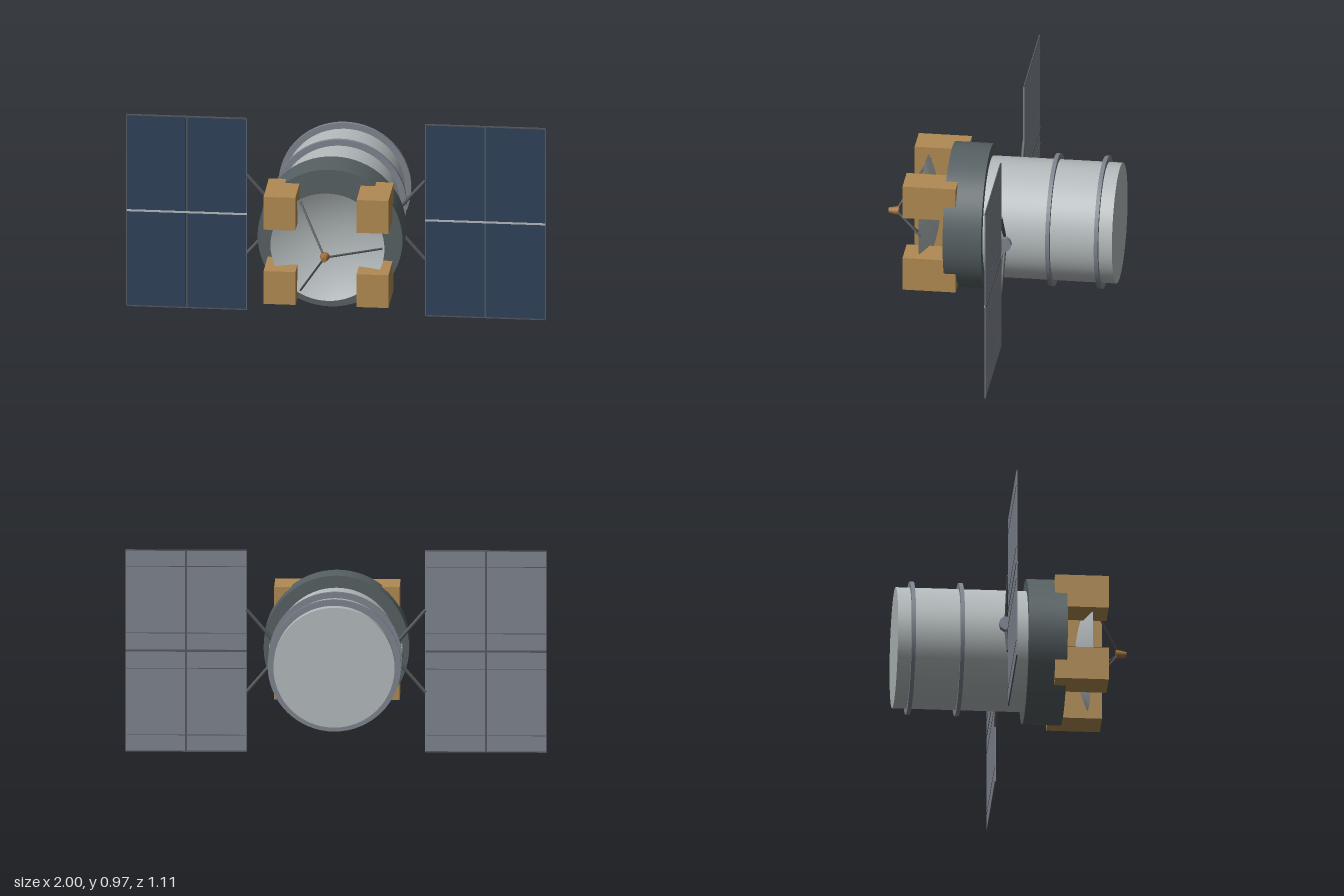
import * as THREE from 'three';

const CY = 0.486; // height of the body axis
const WING_Z = -0.037;

const mat = (name, color, side = THREE.FrontSide) => {
  const m = new THREE.MeshStandardMaterial({ color, side });
  m.name = name;
  return m;
};

export function createModel() {
  const shell = mat('pale shell grey', 0xb4bbbc);
  const dishMat = mat('pale dish grey', 0xb4bbbc, THREE.DoubleSide);
  const collarMat = mat('dark collar grey', 0x566063);
  const gold = mat('gold foil', 0xb08a52);
  const copper = mat('copper feed', 0xa06f3c);
  const navy = mat('solar navy', 0x30415a);
  const steel = mat('steel grey', 0x7e848e);
  const dark = mat('dark strut', 0x55585c);

  const model = new THREE.Group();
  model.name = 'satellite';

  const add = (parent, name, geo, material, x = 0, y = 0, z = 0) => {
    const mesh = new THREE.Mesh(geo, material);
    mesh.name = name;
    mesh.position.set(x, y, z);
    parent.add(mesh);
    return mesh;
  };
  const box = (parent, name, w, h, d, material, x, y, z) =>
    add(parent, name, new THREE.BoxGeometry(w, h, d), material, x, y, z);
  // Cylinder along z between two depths; rBack and rFront are its end radii
  const drum = (parent, name, rBack, rFront, z0, z1, material, sides = 64) => {
    const geo = new THREE.CylinderGeometry(rFront, rBack, z1 - z0, sides).rotateX(Math.PI / 2);
    return add(parent, name, geo, material, 0, 0, (z0 + z1) / 2);
  };
  // Thin round rod between two points
  const rod = (parent, name, a, b, r, material) => {
    const dir = b.clone().sub(a);
    const mesh = add(parent, name, new THREE.CylinderGeometry(r, r, dir.length(), 8), material);
    mesh.position.copy(a).add(b).multiplyScalar(0.5);
    mesh.quaternion.setFromUnitVectors(new THREE.Vector3(0, 1, 0), dir.normalize());
    return mesh;
  };
  const V = (x, y, z) => new THREE.Vector3(x, y, z);

  // Main body, collar and bands share an axis
  const core = new THREE.Group();
  core.name = 'core';
  core.position.y = CY;
  model.add(core);
  drum(core, 'body', 0.288, 0.288, -0.552, 0.08, shell);
  drum(core, 'collar', 0.346, 0.346, 0.068, 0.252, collarMat);
  for (const z of [-0.245, -0.478]) drum(core, 'band', 0.317, 0.317, z - 0.0095, z + 0.0095, steel);

  // Four foil-wrapped boxes around the front
  for (const sx of [-1, 1]) for (const sy of [-1, 1]) {
    box(core, 'foilBox', 0.152, 0.166, 0.255, gold, sx * 0.222, sy * 0.188, 0.3225);
  }

  // Shallow parabolic dish
  const profile = [];
  for (let i = 0; i <= 12; i++) {
    const r = 0.272 * i / 12;
    profile.push(new THREE.Vector2(r, 0.312 + 0.89 * r * r));
  }
  add(core, 'dish', new THREE.LatheGeometry(profile, 64).rotateX(Math.PI / 2), dishMat);

  // Tripod and feed horn
  for (let i = 0; i < 3; i++) {
    const a = i * Math.PI * 2 / 3;
    rod(core, 'feedStrut', V(0.26 * Math.cos(a), 0.26 * Math.sin(a), 0.372), V(0, 0, 0.52), 0.005, dark);
  }
  drum(core, 'feedHorn', 0.023, 0.013, 0.505, 0.555, copper, 16);

  // Solar wings, one per side
  for (const s of [-1, 1]) {
    const wing = new THREE.Group();
    wing.name = s > 0 ? 'leftWing' : 'rightWing';
    wing.position.set(0, CY, WING_Z);
    model.add(wing);

    add(wing, 'hub', new THREE.CylinderGeometry(0.036, 0.036, 0.05, 10).rotateZ(Math.PI / 2),
      steel, s * 0.292);
    for (const sy of [-1, 1]) {
      rod(wing, 'arm', V(s * 0.262, sy * 0.01, 0), V(s * 0.425, sy * 0.198, 0), 0.0085, dark);
      for (const x of [0.5675, 0.8575]) {
        box(wing, 'cellFace', 0.281, 0.475, 0.003, navy, s * x, sy * 0.2425, 0.0015);
        box(wing, 'panelBack', 0.281, 0.475, 0.003, steel, s * x, sy * 0.2425, -0.0015);
      }
      // Outer frame and slim stiffeners on the back
      box(wing, 'edgeRail', 0.575, 0.006, 0.006, dark, s * 0.7125, sy * 0.483, 0);
      for (const y of [0.085, 0.405]) {
        box(wing, 'stiffener', 0.57, 0.003, 0.002, dark, s * 0.7125, sy * y, -0.0035);
      }
    }
    for (const x of [0.4255, 0.9985]) box(wing, 'sideRail', 0.003, 0.968, 0.006, steel, s * x, 0, 0);
    box(wing, 'middleSeam', 0.008, 0.968, 0.004, dark, s * 0.7125, 0, 0);
    box(wing, 'boomFront', 0.575, 0.01, 0.004, shell, s * 0.7125, 0, 0.002);
    box(wing, 'boomBack', 0.575, 0.01, 0.005, dark, s * 0.7125, 0, -0.0025);
  }
  return model;
}
